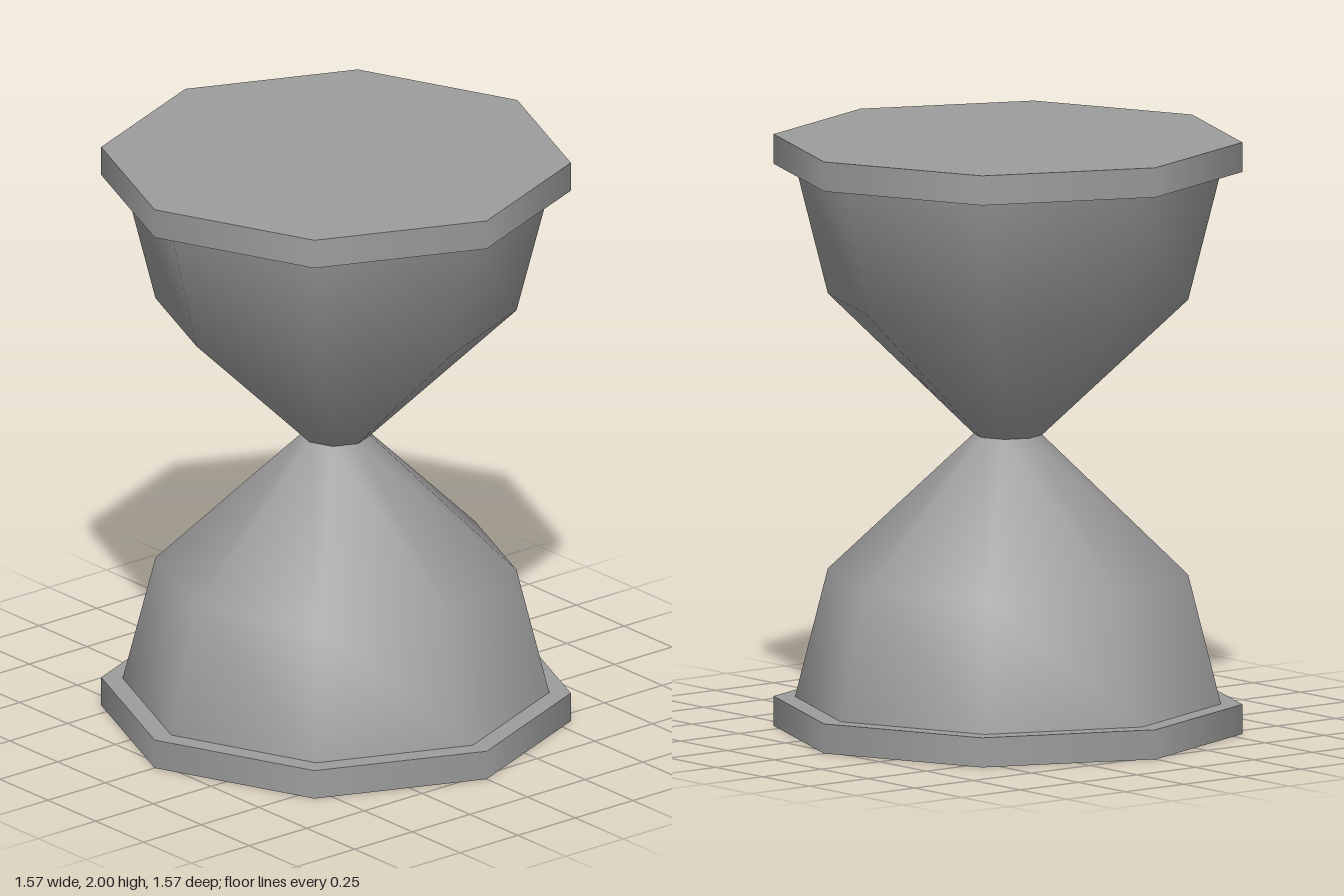
import * as THREE from 'three';
import { mergeVertices } from 'three/addons/utils/BufferGeometryUtils.js';

const SIDES = 8;

// Lathe with its seam welded and normals averaged over the faces
function bulb(profile) {
  const lathe = new THREE.LatheGeometry(profile, SIDES);
  lathe.deleteAttribute('uv');
  lathe.deleteAttribute('normal');
  const welded = mergeVertices(lathe);
  welded.computeVertexNormals();
  return welded;
}

export function createModel() {
  const model = new THREE.Group();
  const material = new THREE.MeshStandardMaterial({ color: 0x9d9d9d });
  const glass = new THREE.MeshStandardMaterial({ color: 0x9d9d9d, side: THREE.DoubleSide });

  function add(name, geometry, mat, y = 0) {
    const mesh = new THREE.Mesh(geometry, mat);
    mesh.name = name;
    mesh.position.y = y;
    model.add(mesh);
  }

  // Octagonal end plates
  const plate = new THREE.CylinderGeometry(0.787, 0.787, 0.1, SIDES);
  add('bottomPlate', plate, material, 0.05);
  add('topPlate', plate, material, 1.95);

  // Bulbs: one profile from plate to neck, mirrored about y = 1
  const profile = [[0.715, 0.1], [0.605, 0.535], [0.115, 1]].map(([r, y]) => new THREE.Vector2(r, y));
  const mirrored = profile.map((p) => new THREE.Vector2(p.x, 2 - p.y)).reverse();
  add('lowerBulb', bulb(profile), glass);
  add('upperBulb', bulb(mirrored), glass);

  return model;
}
